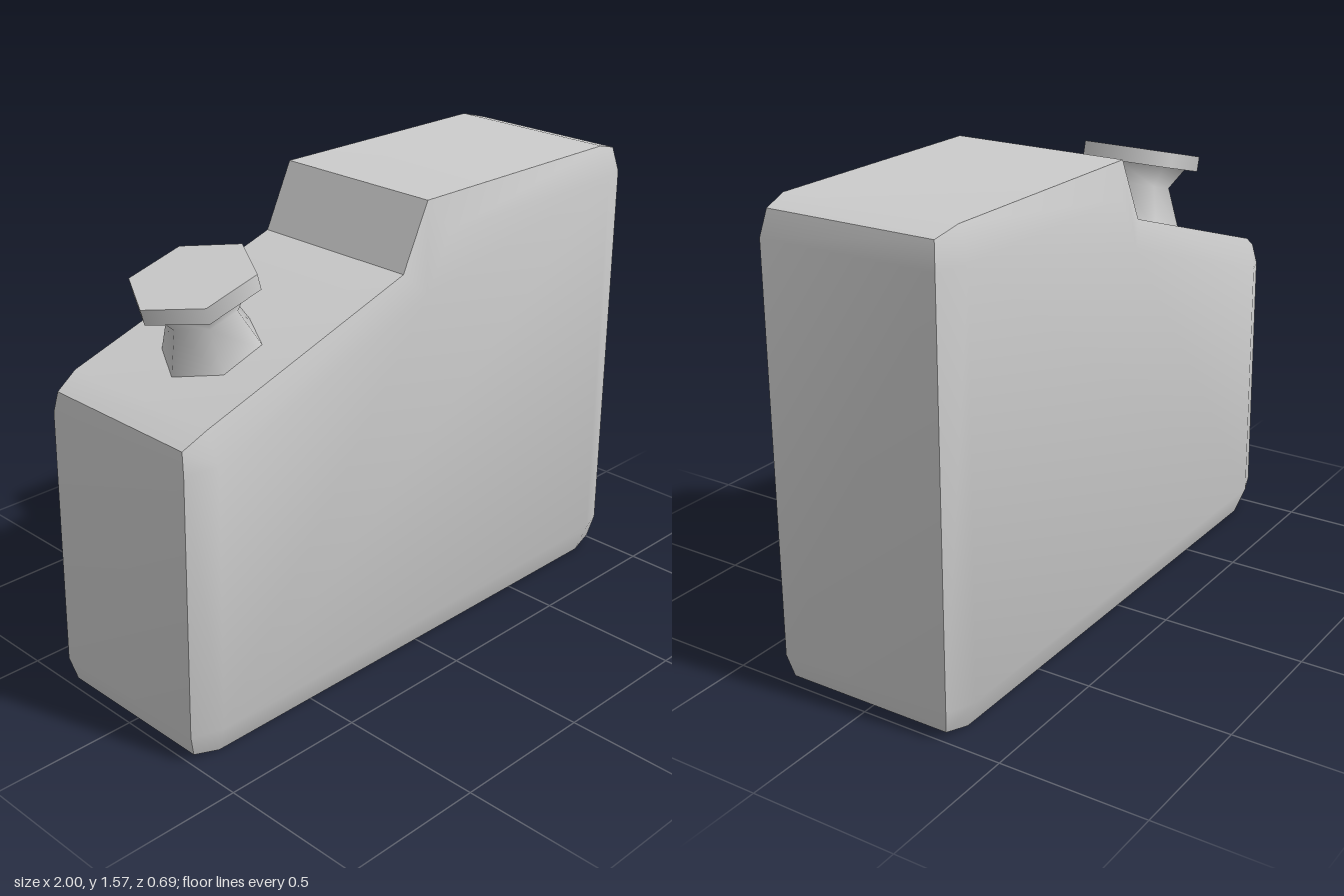
import * as THREE from 'three';
import { toCreasedNormals } from 'three/addons/utils/BufferGeometryUtils.js';

// Side outline, counter-clockwise: x, y, half depth, index of the matching face corner
const RIM = [
  [-0.89, 0, 0.31, 0], [0.89, 0, 0.31, 1],
  [0.98, 0.02, 0.295, 1], [1, 0.1, 0.31, 1],
  [1, 1.46, 0.31, 2], [0.98, 1.545, 0.295, 2], [0.89, 1.57, 0.31, 2],
  [0.02, 1.57, 0.31, 3], [-0.085, 1.355, 0.31, 4],
  [-0.89, 1.095, 0.31, 5], [-0.97, 1.05, 0.295, 5], [-0.98, 0.98, 0.31, 5],
  [-1, 0.1, 0.31, 0], [-0.98, 0.02, 0.295, 0],
];
// Corners of the raised large faces
const FACE = [[-0.9, 0.1], [0.9, 0.1], [0.9, 1.465], [0.085, 1.465], [-0.015, 1.275], [-0.88, 0.99]];
const FACE_Z = 0.347;

function bodyGeometry() {
  const pos = [];
  const tri = (a, b, c) => pos.push(...a, ...b, ...c);
  const rim = (p, s) => [p[0], p[1], s * p[2]];
  const face = (i, s) => [FACE[i][0], FACE[i][1], s * FACE_Z];
  const flats = THREE.ShapeUtils.triangulateShape(FACE.map(([x, y]) => new THREE.Vector2(x, y)), []);

  for (const s of [1, -1]) {
    const add = (a, b, c) => (s > 0 ? tri(a, b, c) : tri(a, c, b));
    // large flat face
    for (const [a, b, c] of flats) add(face(a, s), face(b, s), face(c, s));
    // bevel from the rim to the face
    RIM.forEach((p, i) => {
      const q = RIM[(i + 1) % RIM.length];
      add(rim(p, s), rim(q, s), face(q[3], s));
      if (p[3] !== q[3]) add(rim(p, s), face(q[3], s), face(p[3], s));
    });
  }
  // band around the edge
  RIM.forEach((p, i) => {
    const q = RIM[(i + 1) % RIM.length];
    tri(rim(p, 1), rim(p, -1), rim(q, -1));
    tri(rim(p, 1), rim(q, -1), rim(q, 1));
  });
  const g = new THREE.BufferGeometry();
  g.setAttribute('position', new THREE.Float32BufferAttribute(pos, 3));
  return toCreasedNormals(g, 0.6);
}

export function createModel() {
  const model = new THREE.Group();
  const grey = new THREE.MeshStandardMaterial({ color: 0xcccccc });
  const open = new THREE.MeshStandardMaterial({ color: 0xcccccc, side: THREE.DoubleSide });
  const part = (name, geometry, material, parent) => {
    const mesh = new THREE.Mesh(geometry, material);
    mesh.name = name;
    parent.add(mesh);
    return mesh;
  };

  part('canisterBody', bodyGeometry(), grey, model);

  // tilted spout, origin at the centre of the cap's top
  const spout = new THREE.Group();
  spout.name = 'spout';
  spout.position.set(-0.678, 1.427, 0.015);
  spout.rotation.z = THREE.MathUtils.degToRad(15);
  model.add(spout);

  // waisted hexagonal neck
  const profile = [[0.172, -0.27], [0.114, -0.125], [0.16, -0.053]].map(([r, y]) => new THREE.Vector2(r, y));
  part('neck', new THREE.LatheGeometry(profile, 6, Math.PI / 2), open, spout);

  // hexagonal cap
  const cap = new THREE.CylinderGeometry(0.205, 0.205, 0.053, 6, 1, false, Math.PI / 2);
  part('cap', cap, grey, spout).position.y = -0.0265;

  return model;
}
